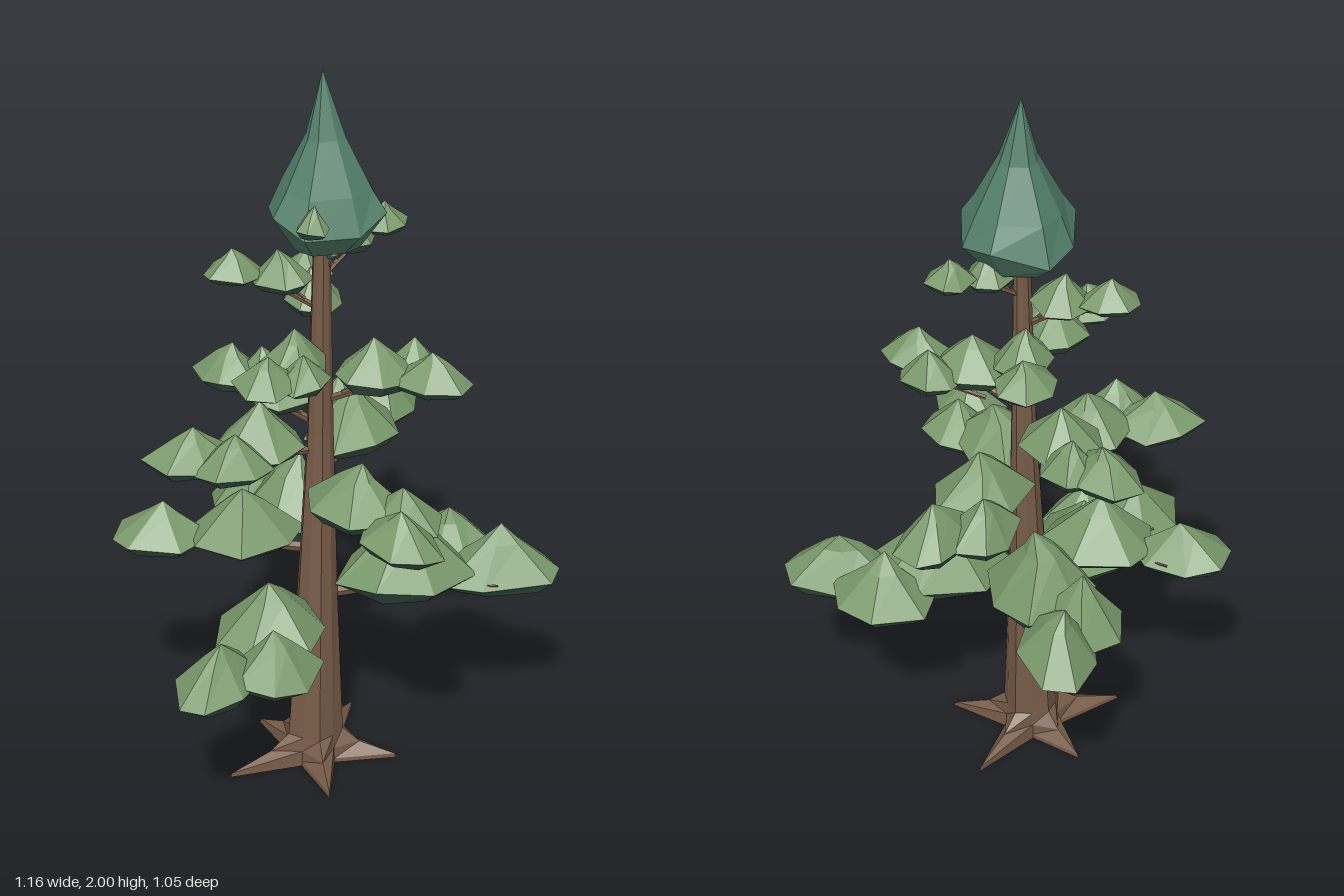
import * as THREE from 'three';

const paint = (color) => new THREE.MeshStandardMaterial({ color, flatShading: true });
const bark = paint(0x775b48), leaf = paint(0x7a996c), leafUnder = paint(0x3c594b), crownGreen = paint(0x54806b);

// Small seeded generator for the irregular outlines
let seed = 7;
const jitter = (amount) => {
  seed = (seed * 16807) % 2147483647;
  return (seed / 2147483647 * 2 - 1) * amount;
};

// Skin over rings of points listed bottom to top; a ring of one point is a tip
function loft(rings) {
  const out = [];
  for (let i = 0; i + 1 < rings.length; i++) {
    const lo = rings[i], hi = rings[i + 1], n = Math.max(lo.length, hi.length);
    for (let j = 0; j < n; j++) {
      const a = lo[j % lo.length], b = lo[(j + 1) % lo.length];
      const c = hi[j % hi.length], d = hi[(j + 1) % hi.length];
      if (a !== b) out.push(...a, ...c, ...b);
      if (c !== d) out.push(...b, ...c, ...d);
    }
  }
  const g = new THREE.BufferGeometry();
  g.setAttribute('position', new THREE.Float32BufferAttribute(out, 3));
  g.computeVertexNormals();
  return g;
}

function add(parent, name, geometry, material) {
  const mesh = new THREE.Mesh(geometry, material);
  mesh.name = name;
  parent.add(mesh);
}

// Centre line of the trunk
const trunkX = (y) => 0.01 + 0.035 * Math.min(1, y / 1.2);
const trunkZ = (y) => 0.03 - 0.01 * Math.min(1, y / 1.2);

// Trunk with five roots flaring out of its foot, the sideways ones longer
function trunk() {
  // height, radius on a root, radius between roots
  const profile = [[0, 0.24, 0.08], [0.012, 0.235, 0.078], [0.045, 0.13, 0.075], [0.085, 0.08, 0.071],
    [0.5, 0.057, 0.055], [1, 0.036, 0.035], [1.6, 0.021, 0.021]];
  const rings = profile.map(([y, r1, r2]) => Array.from({ length: 10 }, (_, j) => {
    const t = 0.92 + j * Math.PI / 5;
    const r = j % 2 ? r2 : r2 + (r1 - r2) * (1 + 0.18 * Math.cos(2 * t));
    return [trunkX(y) + r * Math.cos(t), y, trunkZ(y) + r * Math.sin(t)];
  }));
  return loft([[[0.01, 0.01, 0.03]], ...rings, [[0.045, 1.6, 0.02]]]);
}

// Tapering stick through points
function stick(points, r0, r1) {
  const curve = new THREE.CatmullRomCurve3(points), steps = 4, sides = 5;
  const g = new THREE.TubeGeometry(curve, steps, 1, sides, false);
  const p = g.attributes.position, v = new THREE.Vector3();
  for (let i = 0; i < p.count; i++) {
    const u = Math.floor(i / (sides + 1)) / steps, c = curve.getPointAt(u);
    v.fromBufferAttribute(p, i).sub(c).multiplyScalar(r0 + (r1 - r0) * u).add(c);
    p.setXYZ(i, v.x, v.y, v.z);
  }
  return g;
}

// Foliage pad: peaked top over a shallow dark underside, a along the limb and b across it
function pad(parent, { x, y, z, h, a, b }, angle) {
  const n = 7, rim = [], base = [], shoulder = [];
  const turn = jitter(0.4);
  for (let j = 0; j < n; j++) {
    const t = turn + (j + jitter(0.2)) * 2 * Math.PI / n, k = 1.06 + jitter(0.1);
    const u = a * k * Math.cos(t), w = b * k * Math.sin(t);
    const dx = u * Math.cos(angle) - w * Math.sin(angle), dz = u * Math.sin(angle) + w * Math.cos(angle);
    rim.push([x + dx, y + h * (0.23 + jitter(0.07)), z + dz]);
    base.push([x + dx * 0.74, y + h * 0.03, z + dz * 0.74]);
    shoulder.push([x + dx * 0.33, y + h * 0.75, z + dz * 0.33]);
  }
  const tip = [[x + jitter(0.12) * b, y + h, z + jitter(0.12) * b]];
  add(parent, 'foliageTop', loft([rim, shoulder, tip]), leaf);
  add(parent, 'foliageUnderside', loft([[[x, y, z]], base, rim]), leafUnder);
}

// Limbs from low to high: foliage bottom, foliage height, end x, end z,
// sideways offset of a middle pad (0 for none)
const limbs = [
  [0.46, 0.2, -0.45, 0.12, -0.1], [0.52, 0.23, 0.45, 0.35, -0.12], [0.6, 0.24, 0.24, -0.4, -0.08],
  [0.66, 0.17, -0.26, -0.31, 0], [0.83, 0.16, -0.06, 0.42, -0.07], [0.88, 0.18, 0.43, -0.1, -0.09],
  [0.96, 0.16, -0.31, -0.13, -0.08], [1.03, 0.15, 0.03, -0.33, 0.05], [1.15, 0.14, 0.2, 0.3, -0.08],
  [1.23, 0.12, -0.25, 0.1, -0.07], [1.3, 0.12, 0.2, -0.2, 0], [1.41, 0.11, -0.11, -0.16, 0],
  [1.5, 0.08, 0.07, 0.08, 0], [1.5, 0.1, 0.25, 0.05, 0], [1.59, 0.1, -0.08, 0.11, 0],
];

function limb([y, h, endX, endZ, offset], index) {
  const group = new THREE.Group();
  group.name = 'limb' + (index + 1);
  const y0 = y - (y > 1.1 ? 0.06 : 0.01);
  const start = new THREE.Vector3(trunkX(y0), y0, trunkZ(y0));
  const dx = endX - start.x, dz = endZ - start.z, L = Math.hypot(dx, dz), angle = Math.atan2(dz, dx);
  // Pad at a fraction f of the limb, moved s to its side
  const place = (f, s, rise, height, a, b) => ({
    x: start.x + dx * f - dz / L * s, z: start.z + dz * f + dx / L * s, y: y + rise, h: height, a, b,
  });
  const rise = 0.05 * (y - 1);
  const pads = [place(0.45, 0, 0, h, 0.34 * L, 0.29 * L)];
  if (offset) pads.push(place(0.72, offset, rise / 2, h * 0.8, 0.26 * L, 0.22 * L));
  pads.push(place(0.95, 0, rise, h * 0.8, 0.32 * L, Math.min(0.28 * L, 0.05 + 0.1 * L)));
  pads.forEach((p) => pad(group, p, angle));

  const r = 0.021 - 0.009 * y0;
  const tip = new THREE.Vector3(endX, y + rise + 0.02, endZ);
  const middle = start.clone().lerp(tip, 0.5).setY(y + 0.005);
  add(group, 'branch', stick([start, middle, tip], r, r * 0.4), bark);
  // Twigs to the other pads, and one bare twig poking out
  for (const p of pads.slice(0, -1)) {
    const q = new THREE.Vector3(p.x, p.y + 0.02, p.z);
    add(group, 'twig', stick([start.clone().lerp(q, 0.4), q], r * 0.6, r * 0.3), bark);
  }
  const bare = middle.clone().add(new THREE.Vector3(dx - 0.45 * dz, 0.06, dz + 0.45 * dx).multiplyScalar(0.4));
  add(group, 'bareTwig', stick([middle, bare], r * 0.4, r * 0.2), bark);
  return group;
}

// Pointed crown with an uneven lower edge
function crown() {
  const rings = [[1.54, 0.09], [1.62, 0.158], [1.7, 0.121], [1.83, 0.053]].map(([y, r], i) =>
    Array.from({ length: 8 }, (_, j) => {
      const t = 0.25 + j * Math.PI / 4 + (j % 2 ? 0.08 : -0.08), k = r * (1 + 0.05 * Math.sin(j * 2.3));
      return [0.047 + k * Math.cos(t), y + (i === 1 ? 0.025 * Math.sin(j * 1.9) : 0), 0.028 + k * Math.sin(t)];
    }));
  return loft([[[0.047, 1.53, 0.025]], ...rings, [[0.045, 2, 0.02]]]);
}

export function createModel() {
  const tree = new THREE.Group();
  tree.name = 'tree';
  add(tree, 'trunkAndRoots', trunk(), bark);
  limbs.forEach((data, i) => tree.add(limb(data, i)));
  add(tree, 'crown', crown(), crownGreen);
  return tree;
}
